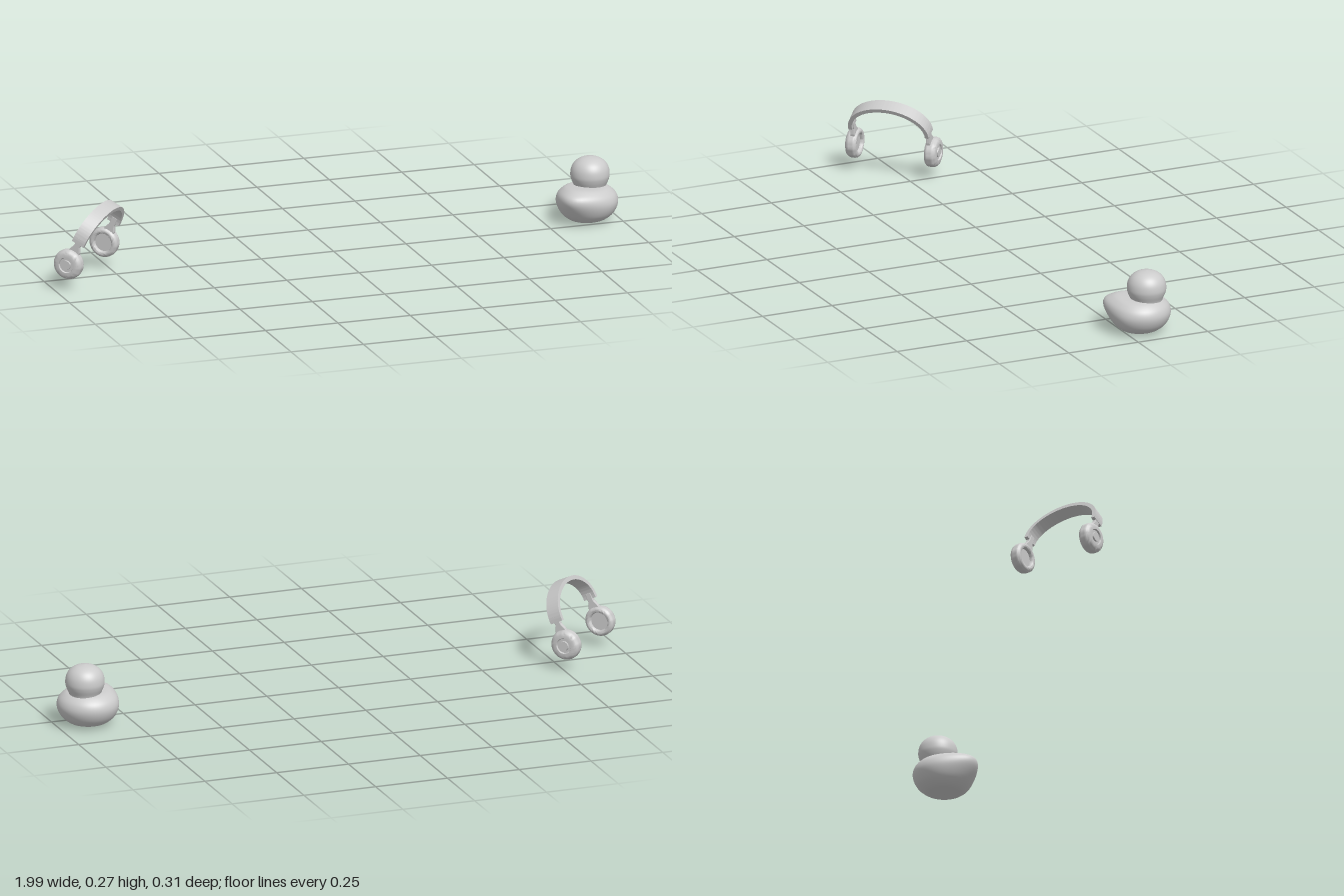
import * as THREE from 'three';
import { mergeVertices, toCreasedNormals } from 'three/addons/utils/BufferGeometryUtils.js';

const material = new THREE.MeshStandardMaterial({ color: 0xcccccc });

function part(name, geometry, parent) {
  const mesh = new THREE.Mesh(geometry, material);
  mesh.name = name;
  parent.add(mesh);
  return mesh;
}

const vectors = (pairs) => pairs.map(([x, y]) => new THREE.Vector2(x, y));

// Smooth lathe through a few profile points, welded so the seam shades evenly
function smoothLathe(pairs, reshape) {
  const profile = new THREE.SplineCurve(vectors(pairs)).getPoints(36);
  profile.forEach((p) => { p.x = Math.max(p.x, 0); });
  let geo = new THREE.LatheGeometry(profile, 48);
  geo.deleteAttribute('uv');
  geo.deleteAttribute('normal');
  if (reshape) {
    const pos = geo.attributes.position;
    const v = new THREE.Vector3();
    for (let i = 0; i < pos.count; i++) {
      reshape(v.fromBufferAttribute(pos, i));
      pos.setXYZ(i, v.x, v.y, v.z);
    }
  }
  geo = mergeVertices(geo, 1e-5);
  geo.computeVertexNormals();
  return geo;
}

// Toy duck, facing local +z
function createDuck() {
  const duck = new THREE.Group();
  duck.name = 'duck';

  // Body: rounded bowl drawn out into a raised, tapering tail at the back
  part('body', smoothLathe([
    [0, 0], [0.05, 0.004], [0.08, 0.021], [0.096, 0.042], [0.103, 0.066],
    [0.098, 0.088], [0.084, 0.104], [0.066, 0.114], [0.035, 0.118], [0, 0.119],
  ], (v) => {
    const back = Math.max(0, -v.z / 0.103);
    const high = THREE.MathUtils.smoothstep(v.y, 0, 0.09);
    v.z *= 1 + 0.22 * back * back * high;
    v.x *= 1 - 0.18 * back * back;
    v.y += 0.016 * back * back * high;
  }), duck);

  // Head: ball with a wide neck, set forward on the body
  part('head', smoothLathe([
    [0.05, 0.1], [0.053, 0.114], [0.061, 0.133], [0.0645, 0.15],
    [0.061, 0.173], [0.049, 0.192], [0.028, 0.205], [0, 0.21],
  ]), duck).position.z = 0.025;

  duck.position.set(0.893, 0, -0.054);
  duck.rotation.y = THREE.MathUtils.degToRad(135);
  return duck;
}

// Headphones: cup centres on local y = 0, ears along local x
function createHeadphones() {
  const phones = new THREE.Group();
  phones.name = 'headphones';

  // Headband: half-elliptical arch strip
  const width = 0.045, endY = 0.085;
  const arch = new THREE.Shape();
  arch.moveTo(0.139, endY - 0.006);
  arch.lineTo(0.139, endY);
  arch.absellipse(0, endY, 0.139, 0.103, 0, Math.PI, false);
  arch.lineTo(-0.139, endY - 0.006);
  arch.lineTo(-0.126, endY - 0.006);
  arch.lineTo(-0.126, endY);
  arch.absellipse(0, endY, 0.126, 0.089, Math.PI, 0, true);
  arch.lineTo(0.126, endY - 0.006);
  const band = new THREE.ExtrudeGeometry(arch, { depth: width, bevelEnabled: false, curveSegments: 40 });
  band.translate(0, 0, -width / 2);
  part('headband', toCreasedNormals(band, 0.6), phones);

  // Ear cup profile: outer button and groove, rounded shell, cushion, recess
  const cupGeo = toCreasedNormals(new THREE.LatheGeometry(vectors([
    [0, -0.008], [0.03, -0.008], [0.0315, -0.017], [0.034, -0.0195], [0.039, -0.02],
    [0.045, -0.018], [0.049, -0.013], [0.05, -0.007], [0.05, 0.004], [0.048, 0.011],
    [0.043, 0.017], [0.036, 0.02], [0.026, 0.02], [0.024, 0.015], [0.016, 0.015],
    [0.015, 0.02], [0, 0.02],
  ]), 40), 0.7);

  // Yoke: plate tapering from the cup up to the band end
  const yokeShape = new THREE.Shape(vectors([
    [-0.019, 0.036], [0.019, 0.036], [0.016, 0.052], [0.008, 0.07],
    [0.008, 0.098], [-0.008, 0.098], [-0.008, 0.07], [-0.016, 0.052],
  ]));
  const yokeGeo = new THREE.ExtrudeGeometry(yokeShape, {
    depth: 0.01, bevelThickness: 0.002, bevelSize: 0.002, bevelSegments: 2,
  });
  yokeGeo.translate(0, 0, -0.005);

  for (const [side, s] of [['left', 1], ['right', -1]]) {
    const cup = part(side + 'EarCup', cupGeo, phones);
    cup.position.x = s * 0.137;
    cup.rotation.z = -s * Math.PI / 2;
    const yoke = part(side + 'Yoke', yokeGeo, phones);
    yoke.position.x = s * 0.131;
    yoke.rotation.y = Math.PI / 2;
  }

  // Turned 45 degrees and tipped forward about the ear axis
  phones.position.set(-0.856, 0.086, 0.0085);
  phones.rotation.set(THREE.MathUtils.degToRad(25), Math.PI / 4, 0, 'YXZ');
  return phones;
}

export function createModel() {
  const model = new THREE.Group();
  model.name = 'duckAndHeadphones';
  model.add(createDuck(), createHeadphones());
  return model;
}
